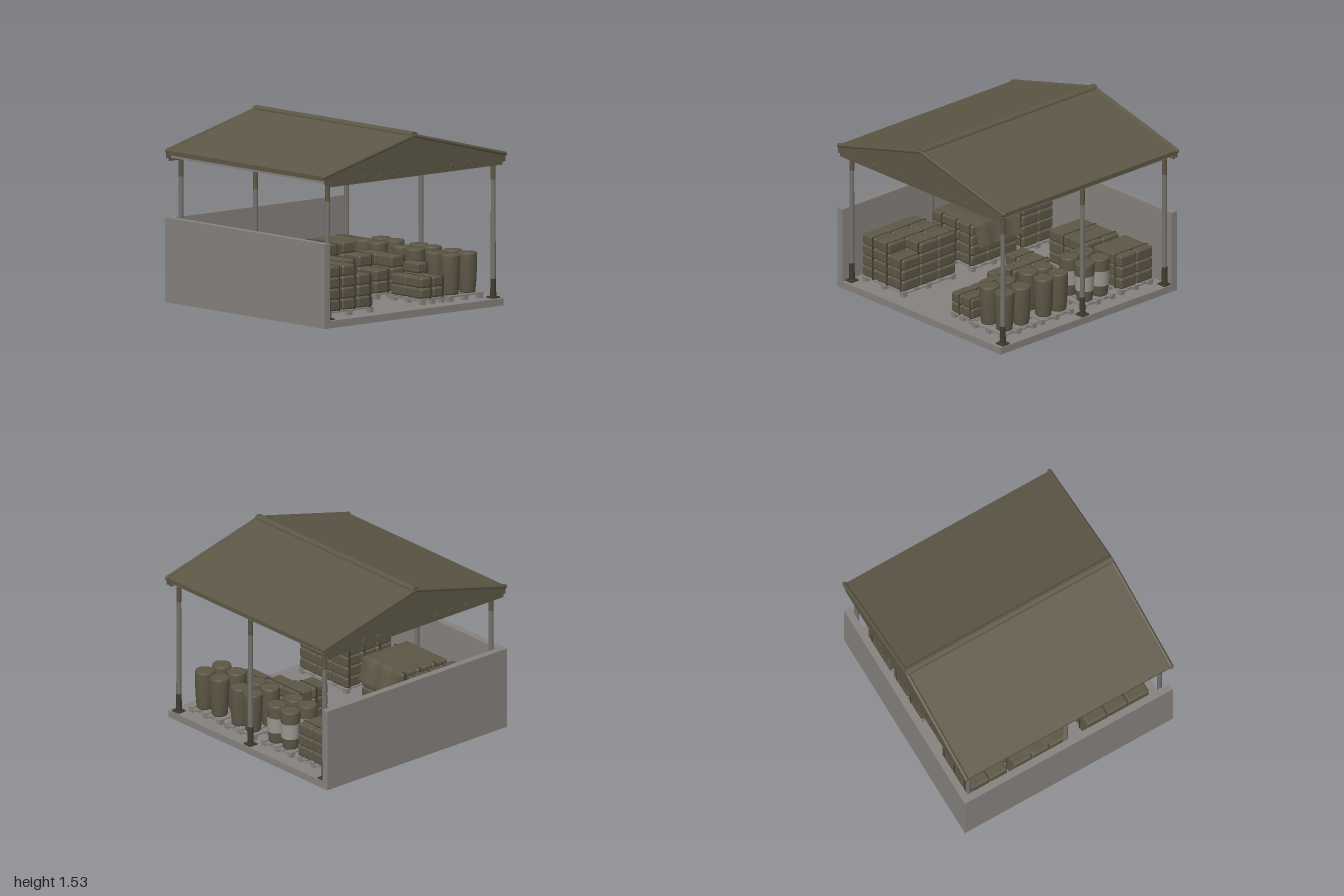
import * as THREE from 'three';
import { RoundedBoxGeometry } from 'three/addons/geometries/RoundedBoxGeometry.js';

const mat = (name, color, side = THREE.FrontSide) => {
  const m = new THREE.MeshStandardMaterial({ color, side });
  m.name = name;
  return m;
};

export function createModel() {
  const root = new THREE.Group();
  root.name = 'storageShelter';
  const olive = mat('olive', 0x5c5645);
  const darkOlive = mat('darkOlive', 0x3f3b2f);
  const concrete = mat('concrete', 0x85817e);
  const steel = mat('steel', 0x74716c);
  const paleBand = mat('paleBand', 0x9a9792);
  const cloth = mat('cloth', 0x5c5645, THREE.DoubleSide);

  const add = (parent, name, geo, material, x = 0, y = 0, z = 0) => {
    const m = new THREE.Mesh(geo, material);
    m.name = name;
    m.position.set(x, y, z);
    parent.add(m);
    return m;
  };
  // Box given by its lower and upper limits on each axis
  const span = (parent, name, material, [x0, x1], [y0, y1], [z0, z1], radius = 0) => {
    const size = [x1 - x0, y1 - y0, z1 - z0];
    const geo = radius ? new RoundedBoxGeometry(...size, 2, radius) : new THREE.BoxGeometry(...size);
    return add(parent, name, geo, material, (x0 + x1) / 2, (y0 + y1) / 2, (z0 + z1) / 2);
  };
  const group = (name) => {
    const g = new THREE.Group();
    g.name = name;
    root.add(g);
    return g;
  };
  const extrude = (points, depth) => new THREE.ExtrudeGeometry(
    new THREE.Shape(points.map(([x, y]) => new THREE.Vector2(x, y))), { depth, bevelEnabled: false });

  // Floor slab and the two low walls
  span(root, 'floor', concrete, [-0.93, 0.96], [0, 0.06], [-0.93, 0.98]);
  span(root, 'backWall', concrete, [-0.99, 0.96], [0, 0.7], [-0.99, -0.93]);
  span(root, 'sideWall', concrete, [-0.99, -0.93], [0, 0.7], [-0.93, 0.98]);

  // Six posts with base plates and dark upper sleeves
  const posts = group('posts');
  for (const x of [-0.895, 0.91]) {
    for (const z of [0.91, 0.02, -0.9]) {
      add(posts, 'post', new THREE.CylinderGeometry(0.02, 0.022, 1.0, 12), steel, x, 0.56, z);
      add(posts, 'postTop', new THREE.CylinderGeometry(0.021, 0.021, 0.18, 12), olive, x, 1.13, z);
      add(posts, 'postFoot', new THREE.CylinderGeometry(0.023, 0.026, 0.15, 12), darkOlive, x, 0.145, z);
      add(posts, 'basePlate', new THREE.BoxGeometry(0.08, 0.012, 0.08), darkOlive, x, 0.066, z);
    }
  }

  // Pitched roof, rolled ridge, gables and eave beams
  const roof = group('roof');
  const ridge = -0.01;
  add(roof, 'roofSheet', extrude([
    [-0.99, 1.235], [ridge, 1.485], [0.985, 1.235], [0.985, 1.255], [ridge, 1.51], [-0.99, 1.255],
  ], 1.94), olive, 0, 0, -0.97);
  const cap = add(roof, 'ridgeCap', new THREE.CylinderGeometry(0.035, 0.035, 1.96, 16), olive, ridge, 1.505, 0);
  cap.rotation.x = Math.PI / 2;
  cap.scale.z = 0.75;
  for (const z of [0.965, -0.98]) {
    add(roof, 'gable', extrude([
      [-0.96, 1.165], [0.95, 1.165], [0.95, 1.19], [0.98, 1.19], [0.98, 1.235],
      [ridge, 1.49], [-0.985, 1.235], [-0.985, 1.19], [-0.96, 1.19],
    ], 0.015), olive, 0, 0, z);
  }
  for (const end of [-1, 1]) {
    for (const s of [-1, 1]) {
      const path = new THREE.LineCurve3(
        new THREE.Vector3(ridge, 1.5, end * 0.97), new THREE.Vector3(s * 0.99, 1.25, end * 0.97));
      add(roof, 'edgeTrim', new THREE.TubeGeometry(path, 1, 0.018, 10), olive);
      add(roof, 'trimEnd', new THREE.SphereGeometry(0.018, 10, 8), olive, s * 0.985, 1.25, end * 0.97);
    }
    for (const x of [-0.55, -0.385, -0.24, 0.245, 0.4, 0.555]) {
      add(roof, 'gableLug', new RoundedBoxGeometry(0.045, 0.035, 0.012, 1, 0.004), olive, x, 1.21, end * 0.982);
    }
  }
  for (const s of [-1, 1]) {
    span(roof, 'eaveFascia', olive, [s * 0.965 - 0.012, s * 0.965 + 0.012], [1.215, 1.25], [-0.965, 0.965]);
    span(roof, 'eaveBeam', concrete, [s * 0.92 - 0.025, s * 0.92 + 0.025], [1.19, 1.225], [-0.965, 0.965]);
  }

  // Pallet: three deck boards over nine blocks
  const pallet = ([x0, x1], [z0, z1]) => {
    const g = group('pallet');
    for (let i = 0; i < 3; i++) {
      const x = x0 + 0.025 + (x1 - x0 - 0.05) * i / 2;
      span(g, 'runner', concrete, [x - 0.025, x + 0.025], [0.085, 0.095], [z0, z1]);
      for (let j = 0; j < 5; j++) {
        const z = z0 + 0.022 + (z1 - z0 - 0.044) * j / 4;
        if (i === 0) span(g, 'deckBoard', concrete, [x0, x1], [0.095, 0.107], [z - 0.022, z + 0.022]);
        if (j % 2 === 0) span(g, 'block', concrete, [x - 0.022, x + 0.022], [0.06, 0.085], [z - 0.022, z + 0.022]);
      }
    }
  };

  // Stack of strapped packages; heights[row][column] counts layers, rows run front to back
  const stack = (name, xs, zs, layer, heights) => {
    pallet(xs, zs);
    const g = group(name);
    const rows = heights.length, cols = heights[0].length;
    const w = (xs[1] - xs[0]) / cols, d = (zs[1] - zs[0]) / rows;
    heights.forEach((row, r) => row.forEach((count, c) => {
      for (let k = 0; k < count; k++) {
        const x = xs[0] + (c + 0.5) * w, y = 0.107 + (k + 0.5) * layer, z = zs[1] - (r + 0.5) * d;
        add(g, 'package', new RoundedBoxGeometry(w - 0.004, layer - 0.003, d - 0.004, 2, 0.018), olive, x, y, z);
        add(g, 'strap', new THREE.BoxGeometry(0.012, layer, d - 0.001), darkOlive, x + w * 0.28, y, z);
      }
    }));
  };
  const rowX = [-0.84, -0.34];
  stack('frontLeftStack', rowX, [0.26, 0.85], 0.093, [[4, 4, 3], [4, 4, 4], [4, 4, 4]]);
  stack('middleLeftStack', rowX, [-0.43, 0.08], 0.09, [[4, 4, 4], [4, 4, 4], [4, 4, 4]]);
  stack('backLeftStack', rowX, [-0.83, -0.49], 0.093, [[4, 4, 4], [4, 4, 4]]);
  stack('backCentreStack', [0, 0.46], [-0.82, -0.45], 0.098, [[3, 3], [3, 3]]);
  stack('backRightStack', [0.5, 0.84], [-0.84, -0.48], 0.098, [[3], [3]]);
  stack('centreFrontStack', [0.2, 0.46], [0.44, 0.83], 0.088, [[2, 2], [2, 3]]);
  stack('centreRearStack', [0.12, 0.46], [-0.05, 0.36], 0.098, [[2, 3], [3, 3]]);

  // Cloth sheet draped over the middle stack, hanging outward on one side
  const sheet = new THREE.PlaneGeometry(0.62, 0.46, 20, 14);
  const p = sheet.attributes.position;
  for (let i = 0; i < p.count; i++) {
    const u = p.getX(i) + 0.31, z = p.getY(i);
    const hang = Math.max(0, u - 0.47);
    const fold = Math.sin(z * 34) * 0.008;
    p.setXYZ(i, -0.81 + u - hang * 0.6 + fold * (hang > 0 ? 1 : 0), 0.474 + fold * 0.5 - hang * 1.25, z * -1 - 0.18);
  }
  sheet.computeVertexNormals();
  add(root, 'drapedSheet', sheet, cloth);

  // Drums: four on each of three pallets, the last set with a pale band
  const drumProfile = [[0, 0], [0.062, 0], [0.066, 0.01], [0.074, 0.1], [0.08, 0.23],
    [0.081, 0.315], [0.076, 0.33], [0.07, 0.326], [0, 0.326]].map(([r, y]) => new THREE.Vector2(r, y));
  const drumGeo = new THREE.LatheGeometry(drumProfile, 24);
  const bandGeo = new THREE.CylinderGeometry(0.0815, 0.0765, 0.13, 24, 1, true);
  [[0.755, 0.57], [0.32, 0.155], [-0.14, -0.31]].forEach((zs, set) => {
    pallet([0.48, 0.85], [zs[1] - 0.1, zs[0] + 0.1]);
    const drums = group('drums');
    for (const x of [0.58, 0.765]) {
      for (const z of zs) {
        add(drums, 'drum', drumGeo, olive, x, 0.107, z);
        if (set === 2) add(drums, 'drumBand', bandGeo, paleBand, x, 0.265, z);
      }
    }
  });

  return root;
}
